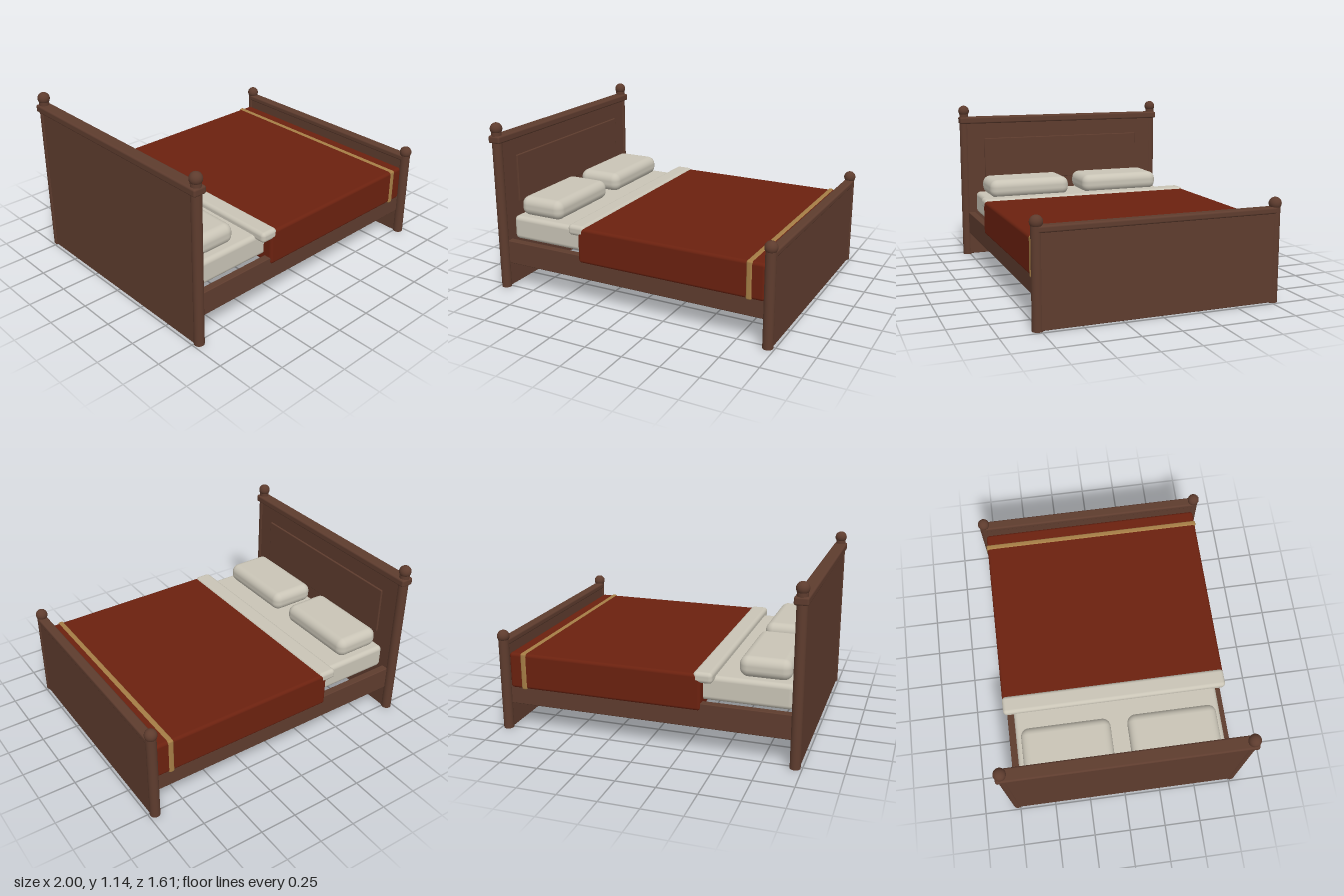
import * as THREE from 'three';
import { RoundedBoxGeometry } from 'three/addons/geometries/RoundedBoxGeometry.js';

const material = (name, color) => {
  const m = new THREE.MeshStandardMaterial({ color });
  m.name = name;
  return m;
};

export function createModel() {
  const bed = new THREE.Group();
  bed.name = 'bed';
  const wood = material('dark wood', 0x5e3c2e);
  const linen = material('cream linen', 0xc9c4b6);
  const red = material('red blanket', 0x6b210f);
  const gold = material('gold trim', 0xa57d45);

  const add = (name, geometry, mat, x = 0, y = 0, z = 0, parent = bed) => {
    const mesh = new THREE.Mesh(geometry, mat);
    mesh.name = name;
    mesh.position.set(x, y, z);
    parent.add(mesh);
    return mesh;
  };
  // Rounded box from its min and max on each axis
  const block = (name, mat, [x0, x1], [y0, y1], [z0, z1], radius, parent = bed) =>
    add(name, new RoundedBoxGeometry(x1 - x0, y1 - y0, z1 - z0, 4, radius), mat,
      (x0 + x1) / 2, (y0 + y1) / 2, (z0 + z1) / 2, parent);

  // Headboard and footboard: panel, top rail, two round posts with ball finials
  const board = (name, x, panelTop, postTop, ballY, rail) => {
    const group = new THREE.Group();
    group.name = name;
    bed.add(group);
    block('boardPanel', wood, [x - 0.027, x + 0.027], [0.005, panelTop], [-0.765, 0.765], 0.004, group);
    block('topRail', wood, rail.x, rail.y, rail.z, 0.012, group);
    for (const z of [-0.767, 0.767]) {
      add('post', new THREE.CylinderGeometry(0.033, 0.033, postTop, 24), wood, x, postTop / 2, z, group);
      add('finial', new THREE.SphereGeometry(0.04, 24, 16), wood, x, ballY, z, group);
    }
    return group;
  };
  const head = board('headboard', -0.957, 1.03, 1.085, 1.105,
    { x: [-1, -0.912], y: [1.01, 1.06], z: [-0.803, 0.803] });
  block('raisedPanel', wood, [-0.94, -0.918], [0.57, 0.895], [-0.62, 0.62], 0.005, head);
  board('footboard', 0.957, 0.59, 0.61, 0.632,
    { x: [0.924, 0.99], y: [0.57, 0.612], z: [-0.775, 0.775] });

  // Side rails
  for (const z of [-0.73, 0.73]) {
    block('sideRail', wood, [-0.94, 0.94], [0.17, 0.33], [z - 0.025, z + 0.025], 0.005);
  }

  // Mattress and pillows
  block('mattress', linen, [-0.918, 0.9], [0.33, 0.492], [-0.698, 0.698], 0.03);
  for (const z of [-0.357, 0.357]) {
    block('pillow', linen, [-0.892, -0.567], [0.487, 0.62], [z - 0.3, z + 0.3], 0.055);
  }

  // Blanket with folded sheet and trim band
  block('blanket', red, [-0.362, 0.926], [0.282, 0.52], [-0.765, 0.765], 0.02);
  block('foldedSheet', linen, [-0.435, -0.312], [0.462, 0.532], [-0.766, 0.766], 0.025);
  block('trimBand', gold, [0.807, 0.845], [0.278, 0.525], [-0.771, 0.771], 0.012);

  return bed;
}
